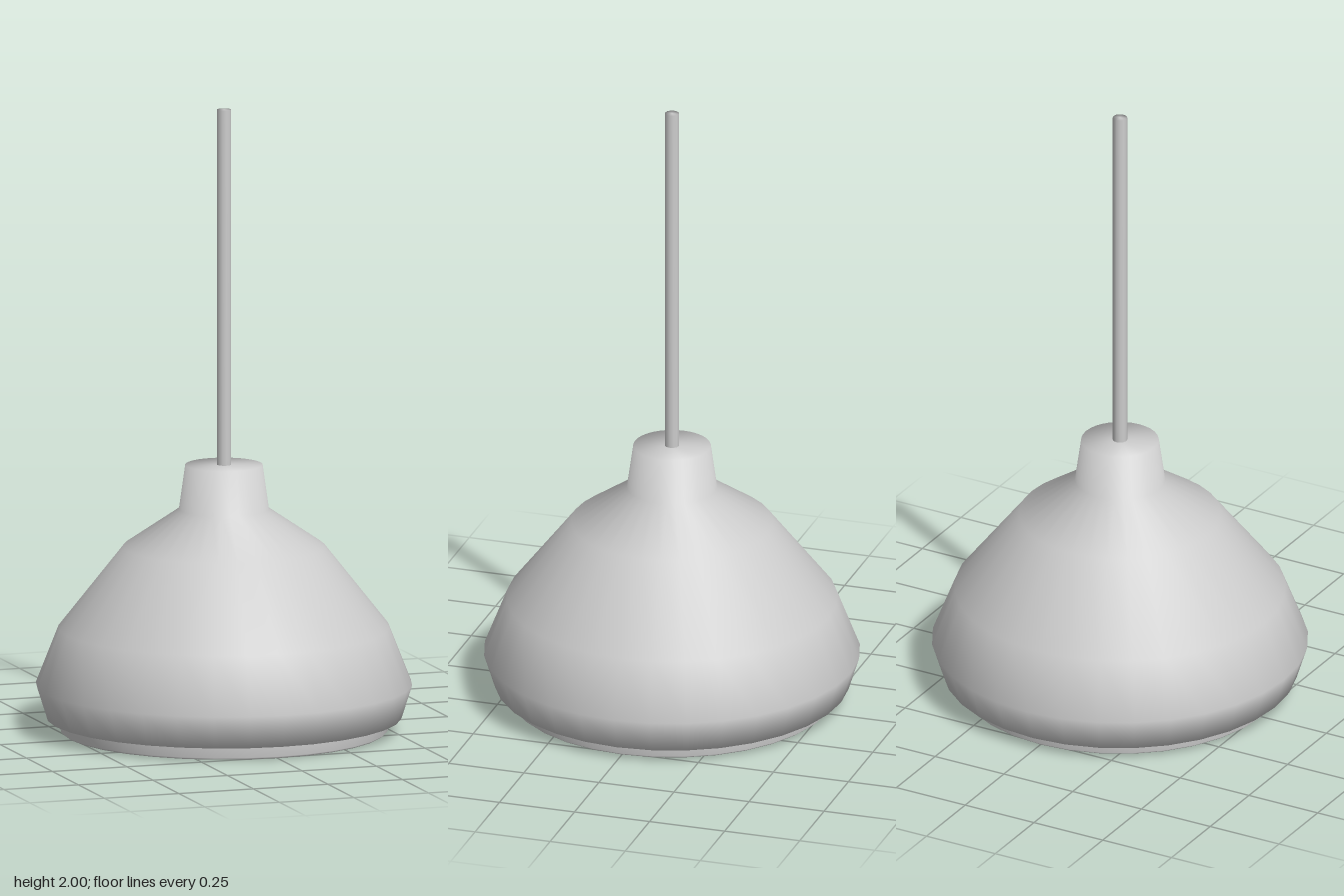
import * as THREE from 'three';

const grey = new THREE.MeshStandardMaterial({ color: 0xcccccc });
grey.name = 'light grey';

// Revolves a bottom-to-top [radius, height] profile into a named mesh
function turned(name, profile, sides) {
  const points = profile.map(([r, y]) => new THREE.Vector2(r, y));
  const mesh = new THREE.Mesh(new THREE.LatheGeometry(points, sides), grey);
  mesh.name = name;
  return mesh;
}

export function createModel() {
  const lamp = new THREE.Group();
  lamp.name = 'pendantLamp';

  // Bell-shaped shade with its neck and closed top
  lamp.add(turned('shade', [
    [0.5, 0.045], [0.563, 0.045], [0.597, 0.152], [0.525, 0.335],
    [0.32, 0.595], [0.143, 0.715], [0.123, 0.857], [0, 0.857],
  ], 32));

  // Shallow diffuser rim below the shade
  lamp.add(turned('diffuserRim', [[0.513, 0], [0.52, 0.006], [0.52, 0.05]], 32));

  // Flat diffuser closing the underside
  const diffuser = new THREE.Mesh(new THREE.CircleGeometry(0.513, 32), grey);
  diffuser.name = 'diffuser';
  diffuser.rotation.x = Math.PI / 2;
  lamp.add(diffuser);

  // Hanging cord with a closed, softly shaded tip
  lamp.add(turned('cord', [[0.023, 0.84], [0.023, 2], [0, 2]], 12));

  return lamp;
}
